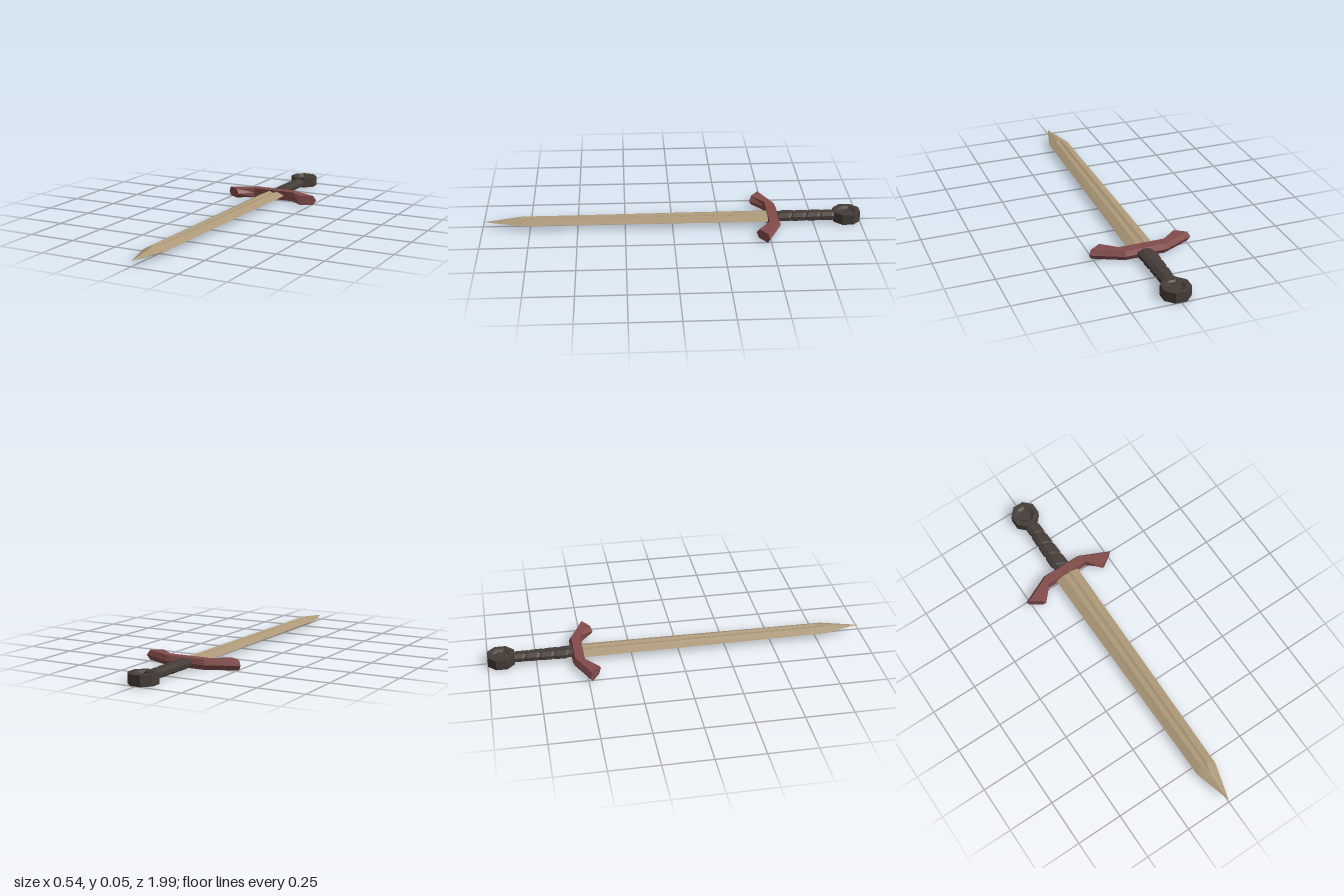
import * as THREE from 'three';

const MID = 0.028; // height of the sword's middle plane

const blade = new THREE.MeshStandardMaterial({ color: 0xac9878 });
blade.name = 'pale bronze';
const red = new THREE.MeshStandardMaterial({ color: 0x824b4a });
red.name = 'dull red';
const dark = new THREE.MeshStandardMaterial({ color: 0x453c37 });
dark.name = 'dark leather';

// Faceted copy of a geometry
function facet(geometry) {
  const g = geometry.index ? geometry.toNonIndexed() : geometry;
  g.computeVertexNormals();
  return g;
}

// Closed faceted solid through rings of [x, y, z] points
function loft(rings) {
  const pos = [];
  const tri = (...pts) => pts.forEach((p) => pos.push(...p));
  const n = rings[0].length;
  for (let i = 0; i < rings.length - 1; i++) {
    for (let j = 0; j < n; j++) {
      const k = (j + 1) % n;
      tri(rings[i][j], rings[i][k], rings[i + 1][k]);
      tri(rings[i][j], rings[i + 1][k], rings[i + 1][j]);
    }
  }
  const centre = (r) => [0, 1, 2].map((a) => r.reduce((s, p) => s + p[a], 0) / n);
  const first = rings[0], last = rings[rings.length - 1];
  for (let j = 0; j < n; j++) {
    const k = (j + 1) % n;
    tri(centre(first), first[k], first[j]);
    tri(centre(last), last[j], last[k]);
  }
  const g = new THREE.BufferGeometry();
  g.setAttribute('position', new THREE.Float32BufferAttribute(pos, 3));
  return facet(g);
}

function add(group, name, geometry, material) {
  const mesh = new THREE.Mesh(geometry, material);
  mesh.name = name;
  group.add(mesh);
  return mesh;
}

// Blade section: cutting edge, ridge and fuller floor, each [x, height, z]
function bladeRing(edge, ridge, floor) {
  const flip = ([x, h, z], sx, sy) => [x * sx, MID + h * sy, z];
  return [
    flip(edge, 1, 1), flip(ridge, 1, 1), flip(floor, 1, 1),
    flip(floor, -1, 1), flip(ridge, -1, 1), flip(edge, -1, 1),
    flip(ridge, -1, -1), flip(floor, -1, -1),
    flip(floor, 1, -1), flip(ridge, 1, -1),
  ];
}

// Guard section: flat top and bottom, with a ridge in front and behind
function guardRing(side, topBack, topFront, midFront, midBack) {
  const at = ([x, z], h) => [x * side, MID + h, z];
  const h = 0.0255;
  return [
    at(topBack, h), at(topFront, h), at(midFront, 0),
    at(topFront, -h), at(topBack, -h), at(midBack, 0),
  ];
}

// Eight-sided grip section, slanted across the width
function gripRing(z, scale, slant) {
  const t = (z + 0.88) / 0.32;
  const ring = [];
  for (let i = 0; i < 8; i++) {
    const a = ((i + 0.5) / 8) * Math.PI * 2;
    const x = Math.cos(a) * (0.039 + 0.011 * t) * scale;
    ring.push([x, MID + Math.sin(a) * 0.0255 * scale, z + x * slant]);
  }
  return ring;
}

export function createModel() {
  const sword = new THREE.Group();
  sword.name = 'sword';

  // Blade with a fuller on both faces and a pointed tip
  const tip = [0, 0, 0.995];
  add(sword, 'blade', loft([
    bladeRing([0.068, 0, -0.53], [0.022, 0.0195, -0.53], [0.007, 0.013, -0.53]),
    bladeRing([0.056, 0, 0.8], [0.018, 0.0195, 0.77], [0.005, 0.013, 0.77]),
    bladeRing([0.056, 0, 0.8], [0.018, 0.0195, 0.77], [0, 0.0185, 0.825]),
    bladeRing(tip, tip, tip),
  ]), blade);

  // Crossguard with arms swept toward the tip
  const end = [[0.258, -0.481], [0.2, -0.442], [0.183, -0.43], [0.272, -0.491]];
  const root = [[0.105, -0.553], [0.12, -0.505], [0.12, -0.505], [0.11, -0.566]];
  add(sword, 'crossguard', loft([
    guardRing(-1, ...end), guardRing(-1, ...root),
    guardRing(1, ...root), guardRing(1, ...end),
  ]), red);

  // Grip core and its slanted wrap bands
  const grip = new THREE.Group();
  grip.name = 'grip';
  sword.add(grip);
  add(grip, 'gripCore', loft([gripRing(-0.9, 0.86, 0), gripRing(-0.54, 0.86, 0)]), dark);
  const bands = 4, start = -0.872, step = 0.076;
  for (let i = 0; i < bands; i++) {
    const z = start + i * step;
    add(grip, 'wrapBand' + (i + 1), loft([
      gripRing(z, 0.88, 0.4), gripRing(z + 0.012, 1, 0.4),
      gripRing(z + step - 0.012, 1, 0.4), gripRing(z + step, 0.88, 0.4),
    ]), dark);
  }

  // Eight-sided pommel, dished on both faces
  const half = [[0.0755, 0.0275], [0.05, 0.0275], [0.034, 0.015], [0, 0.015]];
  const profile = [
    ...half.slice().reverse().map(([r, h]) => new THREE.Vector2(r, -h)),
    ...half.map(([r, h]) => new THREE.Vector2(r, h)),
  ];
  const pommel = add(sword, 'pommel',
    facet(new THREE.LatheGeometry(profile, 8, Math.PI / 8)), dark);
  pommel.position.set(0, MID, -0.93);

  return sword;
}
